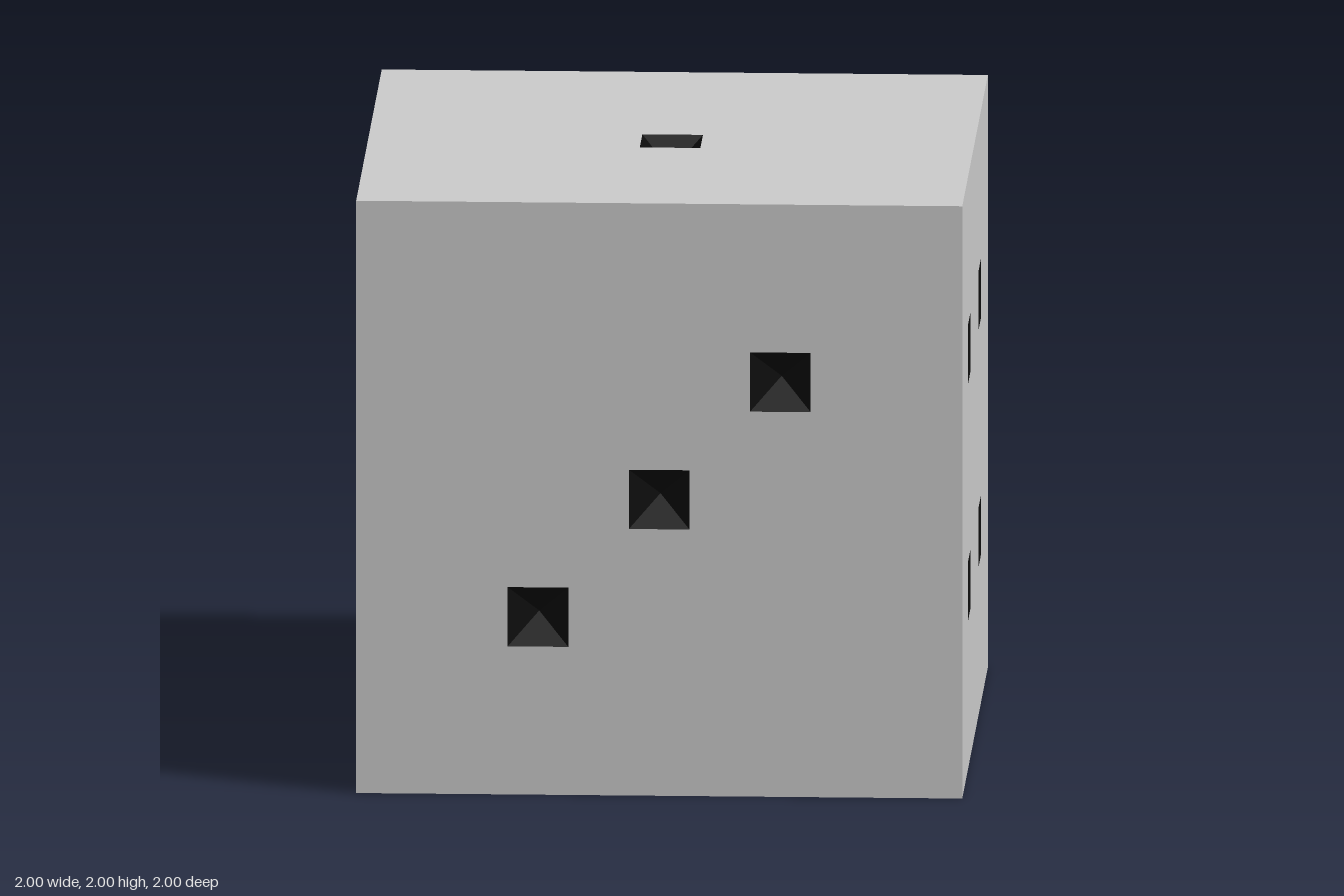
import * as THREE from 'three';

const PIP = 0.1;   // half width of a pip
const DEPTH = 0.1; // depth of a pip

export function createModel() {
  const model = new THREE.Group();
  model.name = 'die';
  const bodyMaterial = new THREE.MeshStandardMaterial({ color: 0xcccccc, flatShading: true });
  const pipMaterial = new THREE.MeshStandardMaterial({ color: 0x0c0c0c, flatShading: true, side: THREE.DoubleSide });

  // Square pit: an open four-sided pyramid with its tip pointing into the die
  const pitGeometry = new THREE.ConeGeometry(PIP * Math.SQRT2, DEPTH, 4, 1, true);
  pitGeometry.rotateY(Math.PI / 4).rotateX(-Math.PI / 2).translate(0, 0, -DEPTH / 2);

  const square = (Type, u, v, h) => new Type([[-h, -h], [h, -h], [h, h], [-h, h]]
    .map(([a, b]) => new THREE.Vector2(u + a, v + b)));

  // One side of the cube, pierced by its pips; local +z points outward
  function addFace(name, rotX, rotY, pips) {
    const face = new THREE.Group();
    face.name = name;
    const shape = square(THREE.Shape, 0, 0, 1);
    pips.forEach(([u, v]) => {
      shape.holes.push(square(THREE.Path, u, v, PIP));
      const pit = new THREE.Mesh(pitGeometry, pipMaterial);
      pit.name = 'pip';
      pit.position.set(u, v, 1);
      face.add(pit);
    });
    const panel = new THREE.Mesh(new THREE.ShapeGeometry(shape), bodyMaterial);
    panel.name = name + 'Panel';
    panel.position.z = 1;
    face.add(panel);
    face.rotation.set(rotX, rotY, 0);
    face.position.y = 1;
    model.add(face);
  }

  // All pairs of the given coordinates
  const grid = (us, vs) => us.flatMap(u => vs.map(v => [u, v]));
  const q = Math.PI / 2;

  addFace('topFace', -q, 0, [[0, -0.05]]);
  addFace('rightFace', 0, -q, [[0.45, 0.4], [-0.35, -0.4]]);
  addFace('frontFace', 0, 0, [[-0.4, -0.4], [0, 0], [0.4, 0.4]]);
  addFace('leftFace', 0, q, grid([-0.45, 0.35], [-0.4, 0.4]));
  addFace('backFace', 0, 2 * q, [[0, 0], ...grid([-0.4, 0.4], [-0.4, 0.4])]);
  addFace('bottomFace', q, 0, grid([-0.4, 0, 0.4], [-0.35, 0.45]));

  return model;
}
